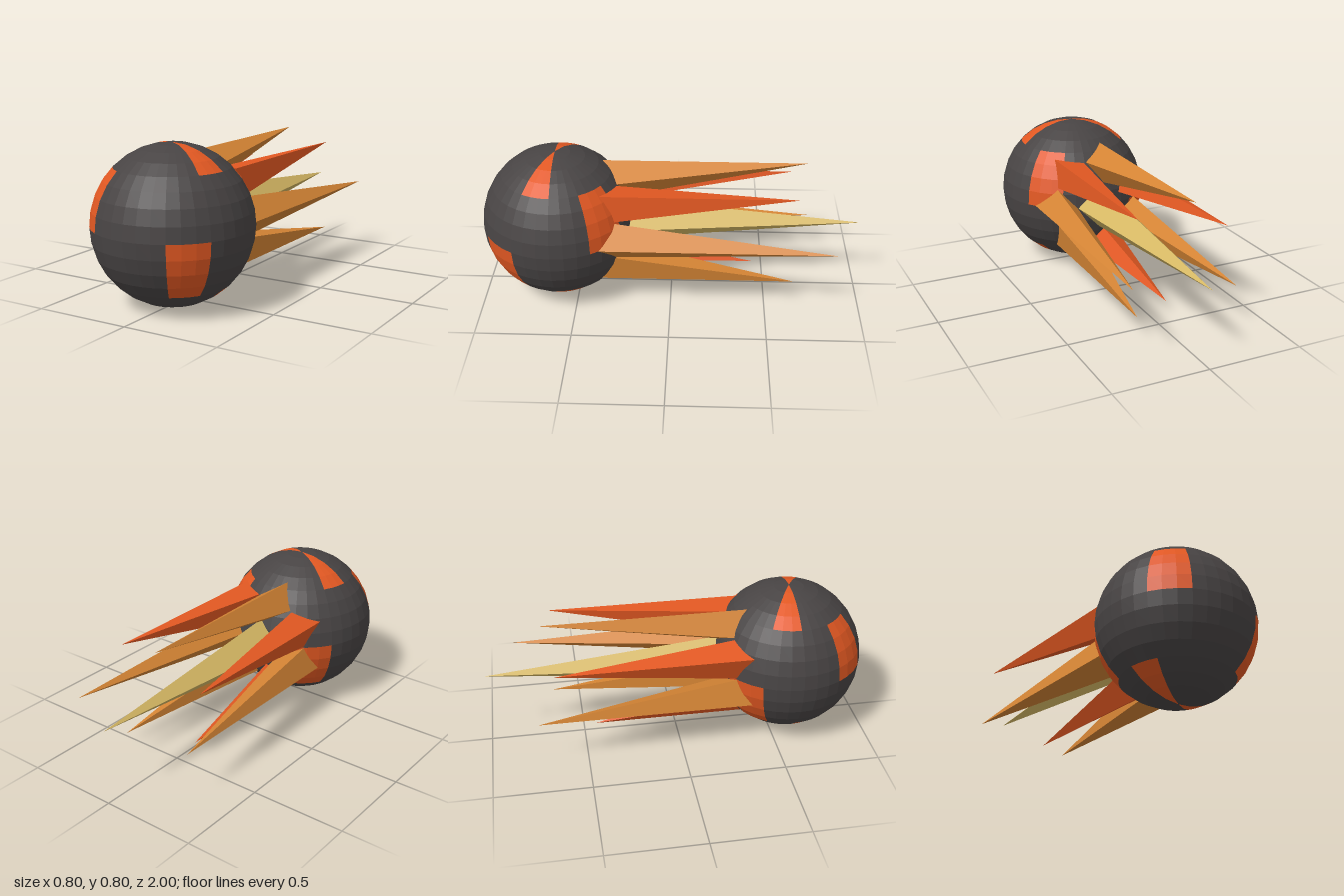
import * as THREE from 'three';
import { mergeGeometries } from 'three/addons/utils/BufferGeometryUtils.js';

function makeMaterial(name, color) {
  const m = new THREE.MeshStandardMaterial({ color, flatShading: true });
  m.name = name;
  return m;
}

export function createModel() {
  const charcoal = makeMaterial('charcoal', 0x484444);
  const ember = makeMaterial('ember orange', 0xe25822);
  const bronze = makeMaterial('bronze', 0xd48434);
  const straw = makeMaterial('straw yellow', 0xd6b864);

  const model = new THREE.Group();
  model.name = 'meteor';
  const add = (name, geometry, material) => {
    const mesh = new THREE.Mesh(geometry, material);
    mesh.name = name;
    mesh.position.y = 0.4;
    model.add(mesh);
  };

  // Faceted rock, built cell by cell; glowing columns for each pair of rows
  const COLS = 12, ROWS = 8;
  const glowing = [[5, 11], [1, 7], [4, 10], [0, 6]];
  const rock = [], glow = [];
  for (let row = 0; row < ROWS; row++) {
    for (let col = 0; col < COLS; col++) {
      const cell = new THREE.SphereGeometry(0.4, 1, 1,
        col * Math.PI * 2 / COLS, Math.PI * 2 / COLS,
        row * Math.PI / ROWS, Math.PI / ROWS);
      (glowing[row >> 1].includes(col) ? glow : rock).push(cell);
    }
  }
  add('rock', mergeGeometries(rock).translate(0, 0, 0.6), charcoal);
  add('glowingPatches', mergeGeometries(glow).translate(0, 0, 0.6), ember);

  // Four-sided flame trailing to -z; its tip leans outward by `lean`
  const BASE_Z = 0.48;
  function flame(radius, tipZ, ring, lean, angle) {
    const length = BASE_Z - tipZ;
    const g = new THREE.ConeGeometry(radius, length, 4);
    g.rotateX(-Math.PI / 2).translate(0, 0, BASE_Z - length / 2);
    const p = g.attributes.position;
    for (let i = 0; i < p.count; i++) {
      const t = (BASE_Z - p.getZ(i)) / length;
      p.setX(i, p.getX(i) + ring + lean * t);
    }
    return g.rotateZ(angle);
  }

  // Centre flame and a ring of seven around it
  add('centreFlame', flame(0.15, -1, 0, 0, 0), straw);
  const tips = [-0.85, -0.65, -0.71, -0.65, -0.75, -0.44, -0.65];
  tips.forEach((tipZ, i) => {
    const angle = i * Math.PI * 2 / tips.length;
    add('outerFlame' + (i + 1), flame(0.12, tipZ, 0.2, 0.12, angle), i % 2 ? ember : bronze);
  });

  return model;
}
